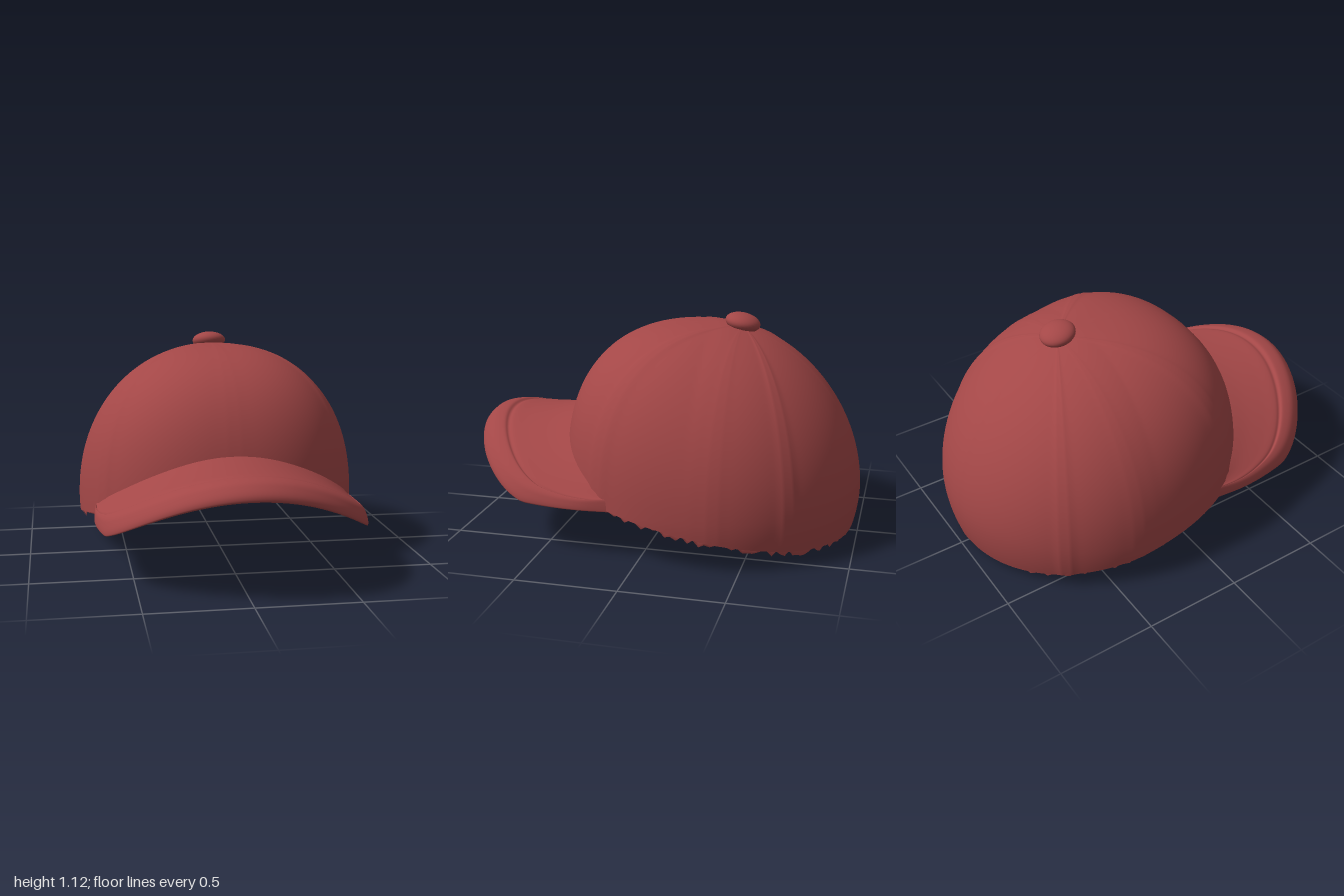
import * as THREE from 'three';
import { mergeVertices } from 'three/addons/utils/BufferGeometryUtils.js';

const DEG = Math.PI / 180;
const APEX_Z = -0.38; // seams meet here, under the button
const MID_Z = -0.25; // middle of the dome
const EQUATOR = 0.25;
const DOME_H = 0.82;

// Smooth surface from fn(u, v), both 0..1
function surface(nu, nv, fn) {
  const pos = [], index = [];
  for (let i = 0; i <= nu; i++)
    for (let j = 0; j <= nv; j++) pos.push(...fn(i / nu, j / nv));
  for (let i = 0; i < nu; i++)
    for (let j = 0; j < nv; j++) {
      const a = i * (nv + 1) + j, b = a + nv + 1;
      index.push(a, a + 1, b, b, a + 1, b + 1);
    }
  let g = new THREE.BufferGeometry();
  g.setAttribute('position', new THREE.Float32BufferAttribute(pos, 3));
  g.setIndex(index);
  g = mergeVertices(g, 1e-5);
  g.computeVertexNormals();
  return g;
}

function bisect(lo, hi, isBelow) {
  for (let k = 0; k < 30; k++) {
    const m = (lo + hi) / 2;
    if (isBelow(m)) lo = m; else hi = m;
  }
  return lo;
}

// Normalised distance from the dome's middle: 1 on the plan outline
function rho(x, z) {
  const front = z > MID_Z, n = front ? 2.4 : 2;
  return (Math.abs(x / 0.732) ** n + (Math.abs(z - MID_Z) / (front ? 0.76 : 0.75)) ** n) ** (1 / n);
}

// Dome height: boxier at the front, rounder at the back
function domeY(x, z) {
  const r = rho(x, z);
  const c = (z - MID_Z) / (Math.hypot(x, z - MID_Z) + 1e-6);
  const n = c > 0 ? 2.1 + 0.7 * c : 2.1 + 0.25 * c;
  return EQUATOR + DOME_H * Math.max(0, 1 - r ** n) ** (1 / n);
}

// Lower edge: arched over the brim, sloping down to the back
function rimY(x, z) {
  return z > 0.15 ? Math.max(0.25, 0.51 - 0.6 * x * x) : 0.25 - (0.15 - z) * 0.19;
}

// Stitched seams: a soft ridge with a fine groove along its middle
const SEAMS = [[0, 0.25], [47, 1], [90, 0.35], [120, 1], [180, 0.3]];
function seam(phi) {
  const deg = Math.abs(phi) / DEG;
  let h = 0;
  for (const [at, k] of SEAMS) {
    const d = deg - at;
    h += k * (0.011 * Math.exp(-((d / 3) ** 2)) - 0.008 * Math.exp(-((d / 1.1) ** 2)));
  }
  return h;
}

// One crown panel line running from the button (w = 0) down past the equator
function panelLine(phi) {
  const dx = Math.sin(phi), dz = Math.cos(phi);
  const reach = bisect(0, 1.5, d => rho(dx * d, APEX_Z + dz * d) < 1);
  const at = w => {
    const d = reach * Math.sin(Math.min(w, 1) * Math.PI / 2);
    const x = dx * d, z = APEX_Z + dz * d;
    if (w <= 1) return [x, domeY(x, z), z];
    const drop = (w - 1) * 0.8, s = 1 - 0.9 * drop * drop;
    return [x * s, EQUATOR - drop, MID_Z + (z - MID_Z) * s];
  };
  const end = bisect(0.5, 1.4, w => { const p = at(w); return p[1] > rimY(p[0], p[2]); });
  return { at, end };
}

function makeCrown() {
  let lastU = -1, line;
  return surface(240, 44, (u, v) => {
    const phi = (u - 0.5) * 2 * Math.PI;
    if (u !== lastU) { line = panelLine(phi); lastU = u; }
    const p = line.at(v * line.end);
    const k = seam(phi) * Math.min(1, v * 3);
    const slope = Math.min(1, v * 1.2);
    return [p[0] + Math.sin(phi) * k * slope, p[1] + k * (1 - slope), p[2] + Math.cos(phi) * k * slope];
  });
}

// Inner band with a frayed lower edge
function makeBand() {
  let seed = 7, lastU = -1, line, jag = 0;
  const rand = () => (seed = (seed * 16807) % 2147483647) / 2147483647;
  return surface(170, 2, (u, v) => {
    if (u !== lastU) {
      line = panelLine((u - 0.5) * 2 * Math.PI);
      lastU = u;
      jag = 0.004 + 0.03 * rand() ** 1.5;
    }
    const p = line.at(line.end);
    const s = [0.965, 0.985, 0.975][v * 2];
    const y = p[1] + [0.06, 0, -jag][v * 2];
    return [p[0] * s, y, MID_Z + (p[2] - MID_Z) * s];
  });
}

// Mirrors a half outline of [x, z] points, ending on the centre line, into a curve
function mirroredCurve(half) {
  const left = half.map(([x, z]) => new THREE.Vector3(-x, 0, z));
  const right = half.slice(0, -1).reverse().map(([x, z]) => new THREE.Vector3(x, 0, z));
  return new THREE.CatmullRomCurve3([...left, ...right]);
}

function makeBrim() {
  const inner = mirroredCurve([[0.64, 0.13], [0.625, 0.17], [0.6, 0.23], [0.54, 0.3],
    [0.44, 0.38], [0.31, 0.43], [0.16, 0.47], [0, 0.48]]);
  const outer = mirroredCurve([[0.66, 0.13], [0.675, 0.3], [0.665, 0.46], [0.63, 0.62],
    [0.55, 0.75], [0.4, 0.88], [0.2, 0.97], [0, 1]]);
  // Section from crown to edge and back underneath: [reach, height]
  const section = new THREE.CatmullRomCurve3([[0, 1.15], [0.25, 1], [0.5, 0.95], [0.67, 0.95],
    [0.72, 0.88], [0.77, 1], [0.87, 0.93], [0.95, 0.66], [1, 0.27], [0.98, 0.03],
    [0.9, -0.02], [0.6, 0.02], [0.3, 0.05], [0, 0.1]].map(([r, h]) => new THREE.Vector3(r, h, 0)));
  return surface(96, 65, (u, v) => {
    const a = inner.getPoint(u), b = outer.getPoint(u), s = section.getPoint(v);
    const p = a.lerp(b, s.x);
    const low = Math.max(0.245, 0.48 - 0.58 * p.x * p.x);
    const high = 0.575 - 0.62 * p.x * p.x;
    return [p.x, low + (high - low) * s.y, p.z];
  });
}

export function createModel() {
  const cap = new THREE.Group();
  cap.name = 'cap';
  const fabric = new THREE.MeshStandardMaterial({ color: 0xa34747, side: THREE.DoubleSide });
  fabric.name = 'red fabric';
  const add = (name, geometry) => {
    const mesh = new THREE.Mesh(geometry, fabric);
    mesh.name = name;
    cap.add(mesh);
    return mesh;
  };

  add('crown', makeCrown());
  add('frayedBand', makeBand());
  add('brim', makeBrim());

  // Covered button on top, tipped towards the back
  const button = add('topButton', new THREE.SphereGeometry(0.09, 32, 20));
  button.scale.y = 0.52;
  button.position.set(0, 1.073, -0.378);
  button.rotation.x = -0.22;

  return cap;
}
